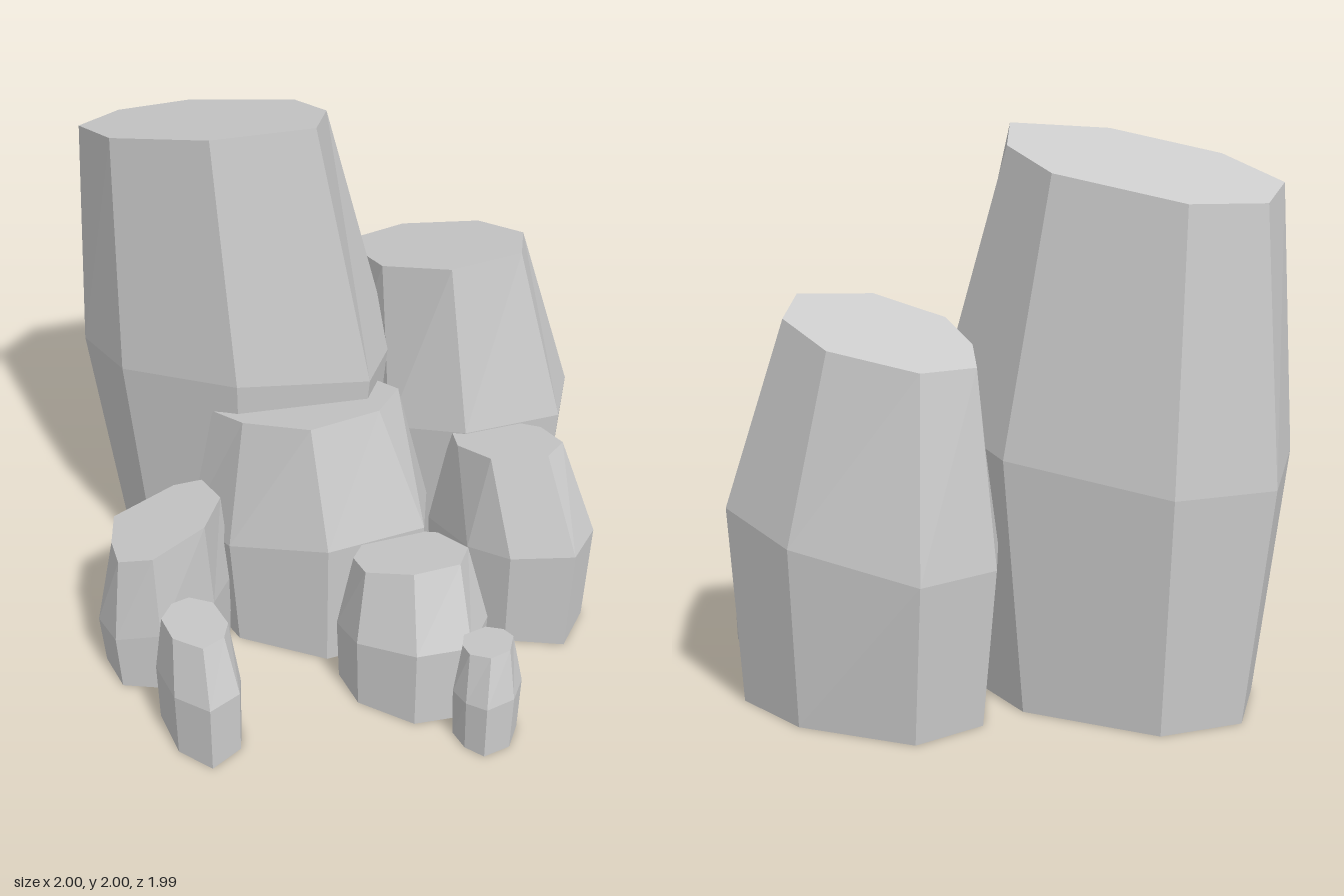
import * as THREE from 'three';

const stone = new THREE.MeshStandardMaterial({ color: 0xcccccc });
stone.name = 'pale grey stone';

// Splits a flat [x, z, x, z, ...] outline into pairs
const pairs = (a) => Array.from({ length: a.length / 2 }, (_, i) => [a[2 * i], a[2 * i + 1]]);

// Lifts an outline onto a tilted plane: height h at (x0, z0), slopes sx and sz
const lift = (ring, [x0, z0, h, sx, sz]) =>
  ring.map(([x, z]) => new THREE.Vector3(x, h + sx * (x - x0) + sz * (z - z0), z));

// An eight-sided stone pillar: tapered foot, widest belt, tilted flat top.
// Outlines run left, front, right, back.
function pillar(name, belt, beltPlane, top, topPlane, footX, footZ = footX) {
  const b = pairs(belt), n = b.length;
  const mid = (k) => (Math.min(...b.map((p) => p[k])) + Math.max(...b.map((p) => p[k]))) / 2;
  const cx = mid(0), cz = mid(1);
  const foot = b.map(([x, z]) => [cx + (x - cx) * footX, cz + (z - cz) * footZ]);
  const rings = [lift(foot, [0, 0, 0, 0, 0]), lift(b, beltPlane), lift(pairs(top), topPlane)];
  const tris = [];
  // Side facets
  for (let r = 0; r < 2; r++) {
    for (let i = 0; i < n; i++) {
      const j = (i + 1) % n, lo = rings[r], hi = rings[r + 1];
      tris.push(lo[i], lo[j], hi[j], lo[i], hi[j], hi[i]);
    }
  }
  // Top and underside
  for (let i = 1; i < n - 1; i++) {
    tris.push(rings[2][0], rings[2][i], rings[2][i + 1]);
    tris.push(rings[0][0], rings[0][i + 1], rings[0][i]);
  }
  const geometry = new THREE.BufferGeometry().setFromPoints(tris);
  geometry.computeVertexNormals();
  const mesh = new THREE.Mesh(geometry, stone);
  mesh.name = name;
  return mesh;
}

export function createModel() {
  const group = new THREE.Group();
  group.name = 'stonePillars';
  group.add(
    pillar('tallPillar',
      [-1, -.55, -.81, -.17, -.36, .09, .13, .09, .23, -.31, .02, -.71, -.51, -.99, -.87, -.89],
      [-.36, .09, 1.04, .045, .2],
      [-.95, -.55, -.8, -.24, -.43, -.02, -.06, -.07, -.02, -.39, -.14, -.69, -.55, -.91, -.83, -.82],
      [-.06, -.07, 2, .09, .23], .82, .91),

    pillar('backRightPillar',
      [.02, -.54, .22, -.18, .51, -.05, .88, -.14, .96, -.5, .74, -.79, .31, -1, .05, -.83],
      [.96, -.5, .7, .1, .17],
      [.11, -.55, .19, -.31, .44, -.15, .71, -.25, .75, -.52, .6, -.77, .3, -.87, .11, -.76],
      [.71, -.25, 1.41, .133, .21], .9),

    pillar('centrePillar',
      [-.56, .04, -.4, .3, -.03, .44, .33, .32, .36, .02, .23, -.17, -.12, -.25, -.46, -.16],
      [-.03, .44, .54, .12, .2],
      [-.46, .02, -.34, .18, -.09, .33, .16, .22, .24, .02, .15, -.12, -.12, -.18, -.38, -.11],
      [-.09, .33, 1.01, .13, .22], .92),

    pillar('rightPillar',
      [.38, -.07, .51, .2, .66, .33, .9, .36, 1, .16, .91, -.07, .82, -.14, .55, -.16],
      [.9, .36, .44, .1, .17],
      [.46, -.09, .47, .05, .58, .2, .79, .22, .86, .11, .8, -.05, .72, -.11, .56, -.13],
      [.79, .22, .81, .1, .2], .95),

    pillar('leftPillar',
      [-.9, .4, -.82, .56, -.65, .58, -.46, .41, -.4, .24, -.45, .05, -.62, .02, -.85, .19],
      [-.65, .58, .27, .18, .1],
      [-.83, .38, -.79, .53, -.66, .57, -.48, .43, -.43, .24, -.51, .07, -.62, .06, -.84, .19],
      [-.66, .57, .62, .28, .1], .94),

    pillar('frontPillar',
      [0, .5, .07, .66, .28, .78, .48, .74, .56, .52, .45, .34, .33, .27, .08, .36],
      [.28, .78, .33, .06, .2],
      [.06, .5, .1, .62, .27, .66, .44, .6, .48, .47, .38, .33, .27, .3, .1, .38],
      [.27, .66, .61, .06, .22], .97),

    pillar('smallLeftPillar',
      [-.66, .71, -.58, .9, -.45, .99, -.35, .89, -.35, .8, -.43, .57, -.55, .53, -.63, .58],
      [-.45, .99, .28, .02, .13],
      [-.63, .7, -.58, .83, -.47, .9, -.4, .83, -.39, .74, -.45, .6, -.54, .56, -.6, .6],
      [-.47, .9, .49, .02, .15], .97),

    pillar('smallRightPillar',
      [.41, .82, .45, .9, .52, .95, .62, .9, .66, .79, .63, .68, .54, .65, .44, .73],
      [.52, .95, .23, .1, .1],
      [.44, .79, .46, .85, .53, .89, .6, .86, .62, .78, .59, .73, .53, .7, .45, .73],
      [.53, .89, .42, .18, .1], .95),
  );
  return group;
}
